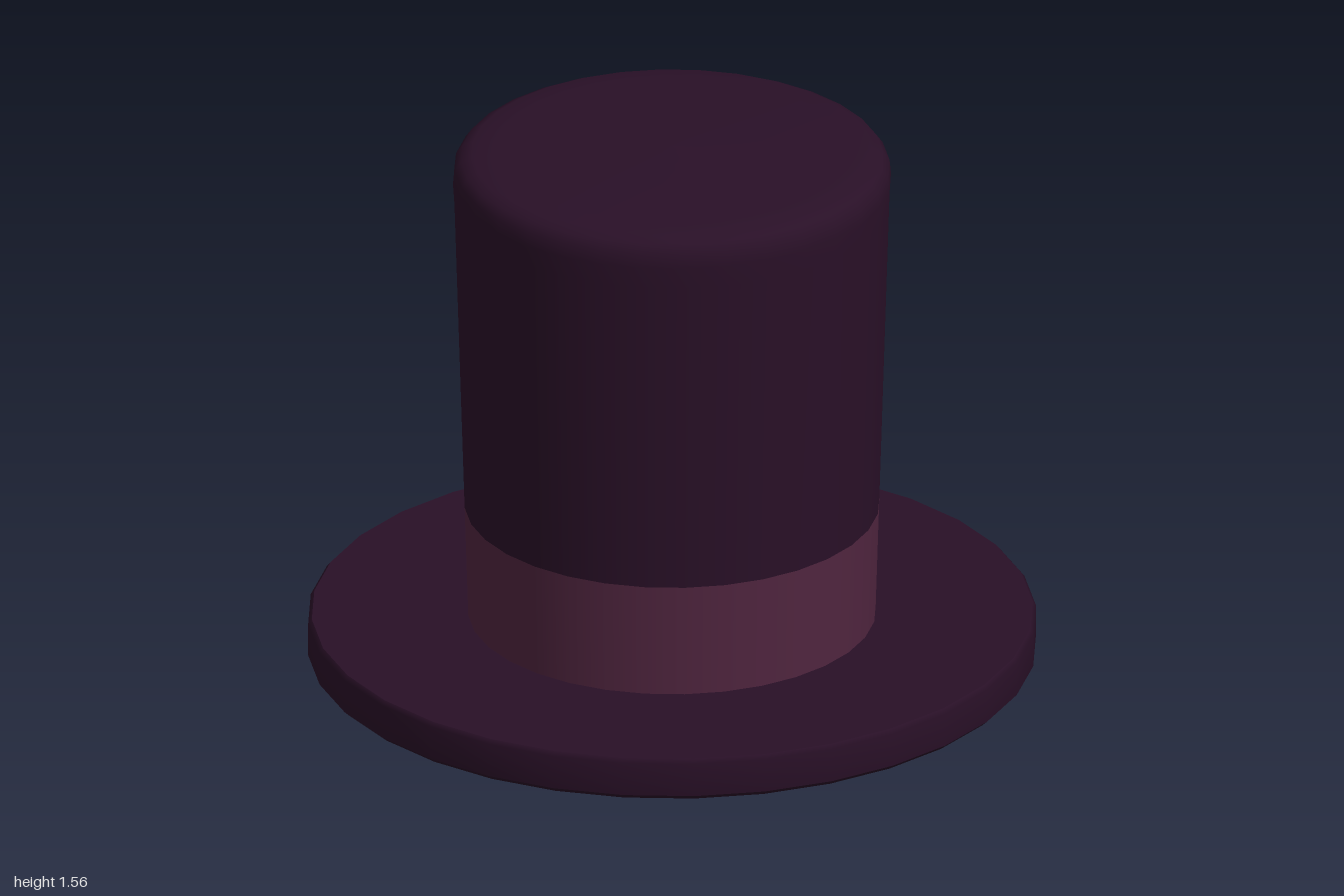
import * as THREE from 'three';

const SEGMENTS = 32;

// Smooth surface of revolution from [radius, height] points
function turned(name, points, material) {
  const profile = points.map(([r, y]) => new THREE.Vector2(r, y));
  const mesh = new THREE.Mesh(new THREE.LatheGeometry(profile, SEGMENTS), material);
  mesh.name = name;
  return mesh;
}

export function createModel() {
  const felt = new THREE.MeshStandardMaterial({ color: 0x291027 });
  felt.name = 'dark plum felt';
  const ribbon = new THREE.MeshStandardMaterial({ color: 0x50253f });
  ribbon.name = 'mauve ribbon';

  const hat = new THREE.Group();
  hat.name = 'topHat';

  hat.add(
    // Hollow inside of the crown, from its ceiling down to the opening
    turned('lining', [[0, 1.46], [0.5, 1.45], [0.54, 1.4], [0.51, 0.1], [0.52, 0.03], [0.55, 0]], felt),
    // Underside rising gently to the rim
    turned('brimUnderside', [[0.55, 0], [0.58, 0.002], [0.96, 0.034], [0.985, 0.038], [1, 0.052]], felt),
    turned('brimEdge', [[0.985, 0.038], [1, 0.052], [1, 0.148], [0.99, 0.16]], felt),
    turned('brimTop', [[0.99, 0.16], [0.555, 0.16]], felt),
    // Ribbon flush with the crown wall
    turned('band', [[0.56, 0.16], [0.57, 0.485]], ribbon),
    // Flaring crown with a rounded shoulder and slightly domed top
    turned('crown', [
      [0.57, 0.485], [0.598, 1.4], [0.602, 1.46], [0.598, 1.5], [0.58, 1.525],
      [0.55, 1.54], [0.48, 1.548], [0.25, 1.556], [0, 1.56],
    ], felt),
  );
  return hat;
}
